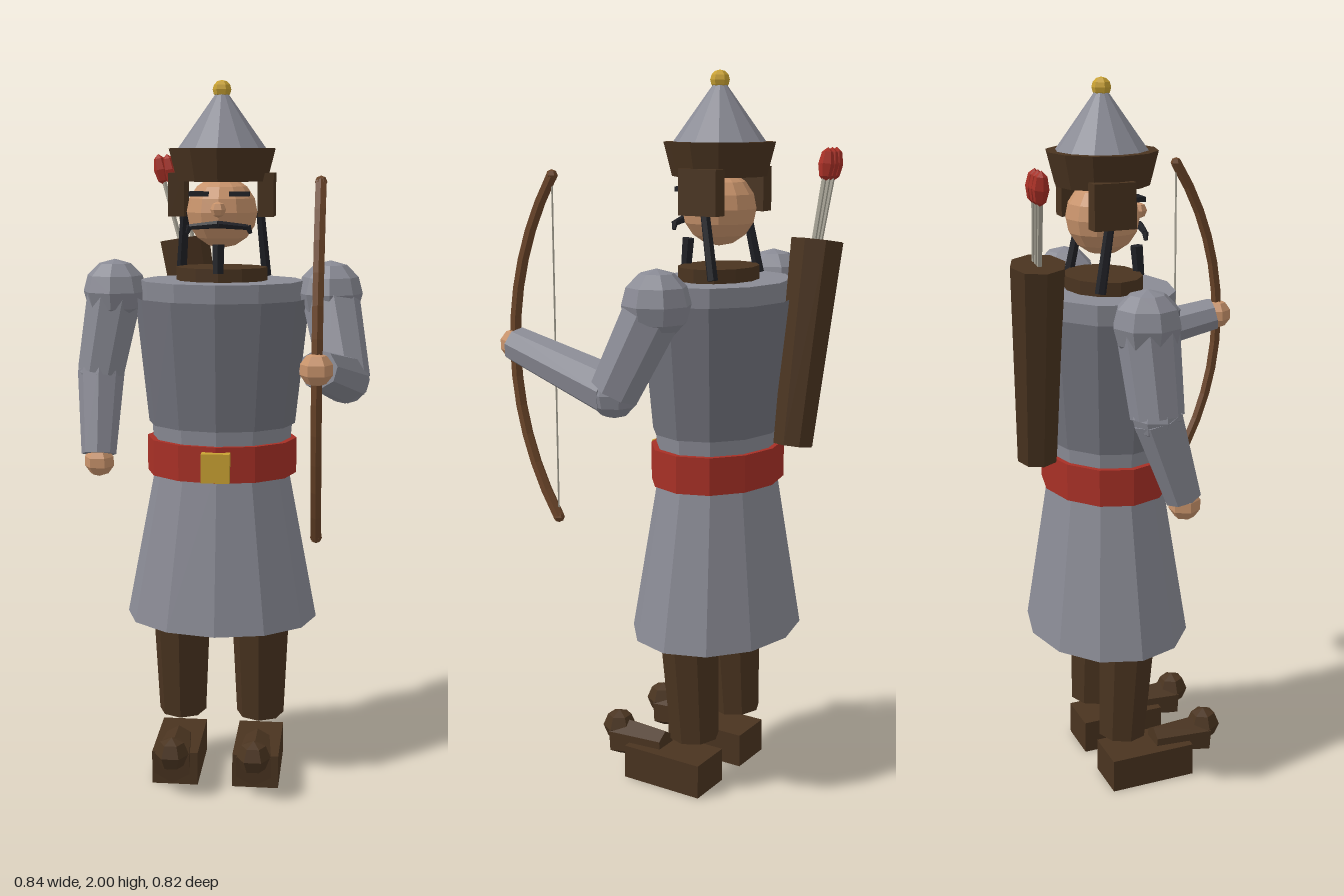
import * as THREE from 'three';

const mat = (name, color, side = THREE.FrontSide) => {
  const m = new THREE.MeshStandardMaterial({ color, side, flatShading: true });
  m.name = name;
  return m;
};

export function createModel() {
  const root = new THREE.Group();
  root.name = 'archer';
  const grey = mat('tunicGrey', 0x8a8b95);
  const steel = mat('armourGrey', 0x71727b, THREE.DoubleSide);
  const brown = mat('darkLeather', 0x4a3420);
  const wood = mat('bowWood', 0x6b4529);
  const red = mat('red', 0xa83026);
  const gold = mat('gold', 0xc9a233);
  const skin = mat('skin', 0xc9946c);
  const black = mat('hairBlack', 0x202126);
  const shaftGrey = mat('shaftGrey', 0xaaa698);

  const CZ = -0.11; // body axis
  const add = (name, geo, material, x = 0, y = 0, z = 0, parent = root) => {
    const m = new THREE.Mesh(geo, material);
    m.name = name;
    m.position.set(x, y, z);
    parent.add(m);
    return m;
  };
  const box = (name, material, w, h, d, x, y, z) => add(name, new THREE.BoxGeometry(w, h, d), material, x, y, z);
  const ball = (name, material, r, x, y, z, ws = 8, hs = 6) =>
    add(name, new THREE.SphereGeometry(r, ws, hs), material, x, y, z);
  // Upright ring section round the body axis
  const ring = (name, material, y0, y1, r0, r1, depth = 1, sides = 12, open = false) => {
    const m = add(name, new THREE.CylinderGeometry(r1, r0, y1 - y0, sides, 1, open), material, 0, (y0 + y1) / 2, CZ);
    m.scale.z = depth;
    return m;
  };
  // Tapered rod from point a to point b
  const rod = (name, material, a, b, ra, rb, sides = 8) => {
    const A = new THREE.Vector3(...a), B = new THREE.Vector3(...b);
    const dir = B.clone().sub(A);
    const m = add(name, new THREE.CylinderGeometry(rb, ra, dir.length(), sides), material);
    m.position.copy(A).add(B).multiplyScalar(0.5);
    m.quaternion.setFromUnitVectors(new THREE.Vector3(0, 1, 0), dir.normalize());
    return m;
  };

  // Tunic, armour and belt
  ring('skirt', grey, 0.46, 0.93, 0.28, 0.19, 0.8);
  ring('torso', grey, 0.93, 1.45, 0.195, 0.235, 0.8);
  ring('breastArmour', steel, 1.04, 1.4, 0.212, 0.25, 0.8, 12, true);
  ring('belt', red, 0.895, 0.998, 0.217, 0.217, 0.8);
  box('buckle', gold, 0.08, 0.083, 0.03, 0, 0.942, 0.07);
  ring('collar', brown, 1.44, 1.487, 0.13, 0.13, 0.8);

  // Legs and boots with upturned toes
  for (const s of [-1, 1]) {
    const x = s * 0.117;
    rod('leg', brown, [x, 0.155, -0.108], [x, 0.55, -0.086], 0.07, 0.088);
    box('boot', brown, 0.133, 0.098, 0.25, x, 0.049, -0.035);
    rod('bootToe', brown, [x, 0.1, -0.01], [x, 0.09, 0.155], 0.04, 0.058, 6);
    ball('toeTip', brown, 0.049, x, 0.122, 0.153, 6, 4);
  }

  // Arms: [side, elbow, wrist, hand]
  const arms = [
    ['right', -1, [-0.35, 1.185, -0.1], [-0.347, 0.955, -0.025], [-0.345, 0.935, -0.02]],
    ['left', 1, [0.355, 1.185, -0.01], [0.29, 1.268, 0.36], [0.286, 1.268, 0.37]],
  ];
  for (const [side, s, elbow, wrist, hand] of arms) {
    const shoulder = [s * 0.307, 1.415, CZ];
    ball(side + 'Shoulder', grey, 0.092, ...shoulder, 8, 6);
    rod(side + 'UpperArm', grey, shoulder, elbow, 0.082, 0.07);
    ball(side + 'Elbow', grey, 0.068, ...elbow);
    rod(side + 'Forearm', grey, elbow, wrist, 0.068, 0.05);
    ball(side + 'Hand', skin, 0.044, ...hand, 6, 5);
  }

  // Head and face
  ball('head', skin, 0.1, 0, 1.64, CZ, 12, 8);
  ball('nose', skin, 0.022, 0, 1.65, -0.005, 6, 4);
  rod('beard', black, [0, 1.475, -0.005], [0, 1.555, -0.012], 0.016, 0.018, 6);
  for (const s of [-1, 1]) {
    box('eyebrow', black, 0.054, 0.013, 0.03, s * 0.056, 1.692, -0.035);
    rod('moustache', black, [0, 1.61, -0.003], [s * 0.08, 1.602, -0.02], 0.011, 0.008, 6);
    rod('moustacheTip', black, [s * 0.08, 1.605, -0.02], [s * 0.088, 1.585, -0.022], 0.009, 0.005, 6);
    rod('braid', black, [s * 0.107, 1.64, -0.13], [s * 0.123, 1.46, -0.165], 0.013, 0.015, 6);
    box('earFlap', brown, 0.045, 0.12, 0.115, s * 0.125, 1.688, -0.13);
  }

  // Pointed helmet with fur brim and finial
  ring('hatBrim', brown, 1.725, 1.815, 0.127, 0.15);
  ring('helmet', grey, 1.812, 1.962, 0.126, 0.018);
  ball('finial', gold, 0.026, 0, 1.974, CZ, 6, 6);

  // Bow held in the left hand, curved in the YZ plane
  const R = 0.859, half = 0.575, bx = 0.287;
  const arc = new THREE.TorusGeometry(R, 0.016, 6, 12, half * 2);
  arc.rotateZ(-half);
  arc.rotateY(-Math.PI / 2);
  add('bow', arc, wood, bx, 1.262, 0.37 - R);
  const tipZ = 0.37 - R + R * Math.cos(half), tipY = R * Math.sin(half);
  for (const s of [-1, 1]) ball('bowTip', wood, 0.016, bx, 1.262 + s * tipY, tipZ, 6, 4);
  rod('bowString', shaftGrey, [bx, 1.262 - tipY, tipZ], [bx, 1.262 + tipY, tipZ], 0.003, 0.003, 4);

  // Quiver and arrows on the back
  rod('quiver', brown, [-0.045, 1.005, -0.322], [-0.135, 1.555, -0.338], 0.056, 0.074);
  for (const i of [-1, 0, 1]) {
    const top = [-0.18 + i * 0.026, 1.755, -0.35];
    rod('arrowShaft', shaftGrey, [-0.117 + i * 0.018, 1.5, -0.336], top, 0.007, 0.007, 5);
    const f = add('fletching', new THREE.SphereGeometry(0.022, 6, 4), red, ...top);
    f.scale.y = 2.1;
    f.rotation.z = 0.2;
  }
  return root;
}
